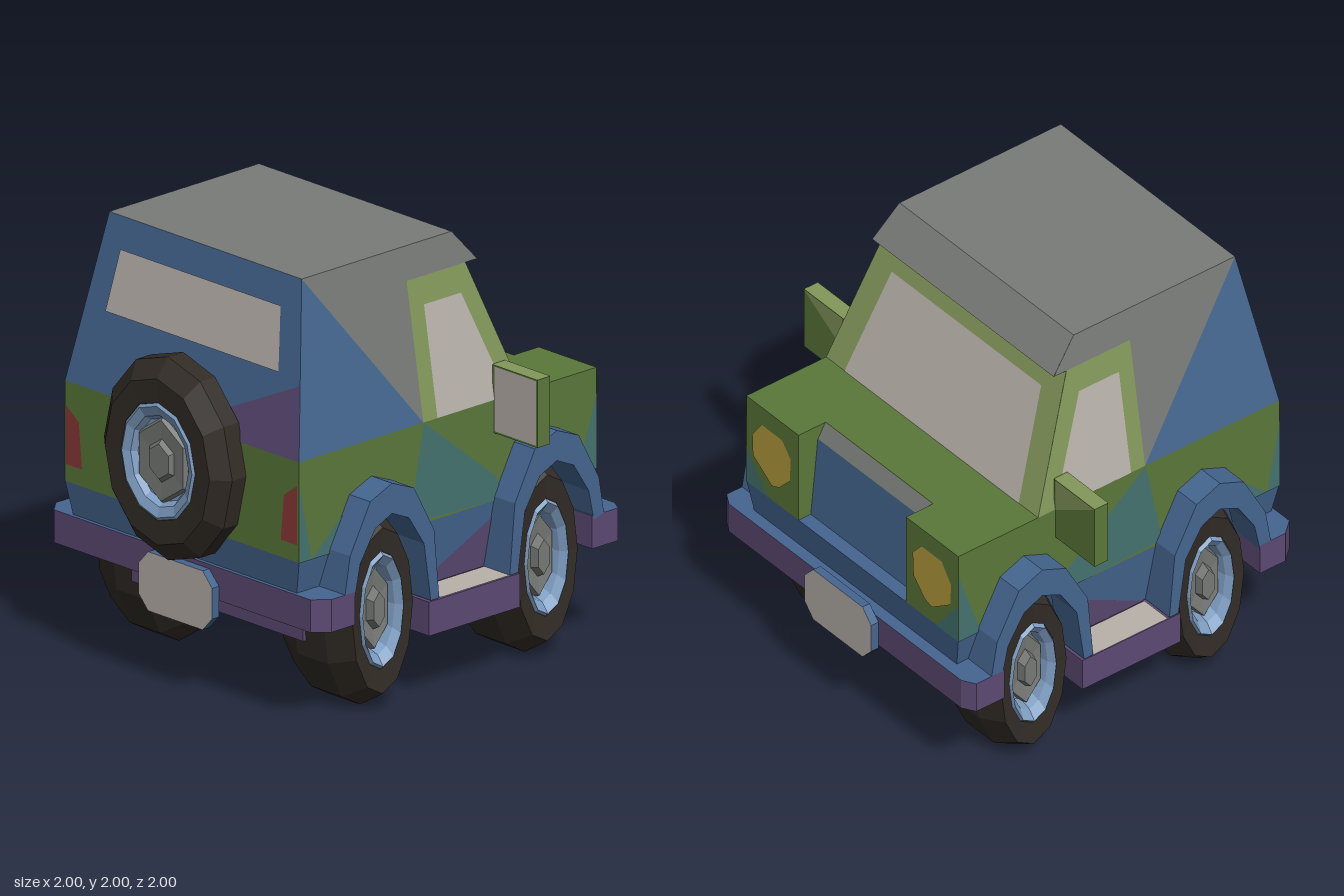
import * as THREE from 'three';

const BLUE = 0x456690, GREEN = 0x5a783a, LIME = 0x83985a, GREY = 0x787b78, PURPLE = 0x5c4a74,
  TEAL = 0x457370, GLASS = 0xb8b2aa, DARK = 0x322c26, RIM = 0x7f9fc4, YELLOW = 0xb89f3c, RED = 0x8c3836;
const mat = (color) => new THREE.MeshStandardMaterial({ color, flatShading: true, side: THREE.DoubleSide });

export function createModel() {
  const car = new THREE.Group();
  const add = (name, geo, color, parent = car) => {
    const m = new THREE.Mesh(geo, Array.isArray(color) ? color.map(mat) : mat(color));
    m.name = name;
    parent.add(m);
    return m;
  };
  const shape = (pts) => new THREE.Shape(pts.map(([a, b]) => new THREE.Vector2(a, b)));

  // Flat panel: a 2D outline laid onto a plane by the rule (u, v) -> [x, y, z]
  const panel = (name, pts, rule, color) => {
    const geo = new THREE.ShapeGeometry(shape(pts)), p = geo.attributes.position;
    for (let i = 0; i < p.count; i++) p.setXYZ(i, ...rule(p.getX(i), p.getY(i)));
    geo.computeVertexNormals();
    return add(name, geo, color);
  };
  // Side profile pushed from z0 to z1
  const slab = (name, pts, z0, z1, color) => {
    const geo = new THREE.ExtrudeGeometry(shape(pts), { depth: z1 - z0, bevelEnabled: false });
    return add(name, geo.translate(0, 0, z0), color);
  };
  const box = (name, x0, x1, y0, y1, z0, z1, color) => add(name,
    new THREE.BoxGeometry(x1 - x0, y1 - y0, z1 - z0).translate((x0 + x1) / 2, (y0 + y1) / 2, (z0 + z1) / 2), color);
  const rect = (a, b, c, d) => [[a, b], [c, b], [c, d], [a, d]];

  const REAR = -0.42, FRONT = 0.56;
  const notch = [[0.2, 0.77], [0.12, 0.9], [0, 0.96], [-0.12, 0.9], [-0.2, 0.77]];

  // Upper body: hollow wheel arches at the sides, recessed grille in the middle
  const flank = [[-0.85, 1.23], [0.92, 1.23], [0.92, 0.77],
    ...notch.map(([x, y]) => [x + FRONT, y]), ...notch.map(([x, y]) => [x + REAR, y]), [-0.85, 0.77]];
  slab('bodyLeft', flank, 0.37, 0.73, GREEN);
  slab('bodyRight', flank, -0.73, -0.37, GREEN);
  slab('bodyCentre', [[-0.85, 1.23], [0.77, 1.23], [0.81, 1.16], [0.85, 0.77], [-0.85, 0.77]], -0.37, 0.37, GREEN);
  panel('grilleTop', rect(-0.37, 1.16, 0.37, 1.23), (z, y) => [0.813 - (y - 1.16) * 0.57, y, z], GREY);
  panel('grille', rect(-0.37, 0.77, 0.37, 1.16), (z, y) => [0.853 - (y - 0.77) * 0.1, y, z], BLUE);

  // Lower body blocks narrowing downwards
  const skirt = (x0, x1, y0, dx0, dx1) => {
    const m = box('lowerBody', x0, x1, y0, 0.77, -0.73, 0.73, BLUE), p = m.geometry.attributes.position;
    for (let i = 0; i < p.count; i++) if (p.getY(i) < 0.76) {
      p.setZ(i, p.getZ(i) * 0.95);
      p.setX(i, p.getX(i) + (p.getX(i) > (x0 + x1) / 2 ? dx1 : dx0));
    }
  };
  skirt(0.79, 0.92, 0.6, 0, -0.02);
  skirt(-0.85, -0.65, 0.6, 0.02, 0);
  skirt(-0.2, 0.34, 0.47, 0, 0);
  box('innerBody', -0.65, 0.79, 0.45, 0.78, -0.33, 0.33, PURPLE);

  // Chassis and running boards
  box('chassis', -0.64, 0.78, 0.31, 0.47, -0.535, 0.535, PURPLE);
  box('sill', -0.2, 0.34, 0.31, 0.465, -0.86, 0.86, PURPLE);
  for (const s of [1, -1])
    panel('runningBoard', rect(-0.13, 0.7, 0.28, 0.86), (x, z) => [x, 0.47, s * z], GLASS);

  // Bumpers, outlined from above, with blue tops
  const bumper = (name, inner, chamfer, end) => {
    const half = [[inner, 0.86], [chamfer, 0.86], [end, 0.8]];
    const outline = [...half, ...half.map(([x, z]) => [x, -z]).reverse()];
    const geo = new THREE.ExtrudeGeometry(shape(outline), { depth: 0.15, bevelEnabled: false });
    add(name, geo.rotateX(Math.PI / 2).translate(0, 0.62, 0), [BLUE, PURPLE]);
  };
  bumper('frontBumper', 0.77, 0.925, 0.96);
  bumper('rearBumper', -0.64, -0.78, -0.85);

  // Wheel arch flares: d points to the bumper end of the car
  const arch = [[0.28, 0.62], [0.25, 0.79], [0.13, 1.01], [0, 1.063], [-0.13, 1.01], [-0.25, 0.79], [-0.28, 0.47],
    [-0.23, 0.47], [-0.19, 0.74], [-0.1, 0.88], [0, 0.925], [0.1, 0.88], [0.19, 0.74], [0.22, 0.6]];
  for (const [cx, d] of [[FRONT, 1], [REAR, -1]]) {
    const pts = arch.map(([x, y]) => [cx + d * x, y]);
    slab('fenderLeft', pts, 0.68, 0.86, BLUE);
    slab('fenderRight', pts, -0.86, -0.68, BLUE);
  }

  // Wheels: faceted tyre, pale rim and six-sided hub
  const lathe = (pts, n) => new THREE.LatheGeometry(pts.map(([r, h]) => new THREE.Vector2(r, h)), n).rotateX(Math.PI / 2);
  const wheel = (name, x, y, z, turn, squash, width) => {
    const g = new THREE.Group();
    g.name = name;
    add('tyre', lathe([[0, -0.23], [0.38, -0.23], [0.465, -0.1], [0.465, 0.09], [0.38, 0.23], [0.27, 0.22], [0.25, 0.17]], 12), DARK, g);
    add('rim', lathe([[0.27, 0.215], [0.255, 0.235], [0.21, 0.2], [0.19, 0.14], [0, 0.14]], 12), RIM, g);
    add('hub', lathe([[0.2, 0.14], [0.185, 0.18], [0.1, 0.17], [0.08, 0.21], [0, 0.21]], 6), GREY, g);
    g.position.set(x, y, z);
    g.rotation.y = turn;
    g.scale.set(squash, 1, width);
    car.add(g);
  };
  for (const x of [REAR, FRONT]) {
    wheel('wheelLeft', x, 0.465, 0.57, 0, 0.475, 1);
    wheel('wheelRight', x, 0.465, -0.57, Math.PI, 0.475, 1);
  }
  wheel('spareWheel', -0.89, 1.08, 0, -Math.PI / 2, 0.86, 0.47);

  // Cabin sides lean inwards; out lifts a panel off the surface
  const lean = (y) => 0.73 - 0.13 * (y - 1.23) / 0.77;
  for (const s of [1, -1]) {
    const side = (out) => (x, y) => [x, y, s * (lean(y) + out)];
    const flat = (x, y) => [x, y, s * 0.734];
    panel('rearQuarter', [[-0.85, 1.23], [-0.11, 1.23], [-0.71, 2]], side(0), BLUE);
    panel('roofSide', [[-0.71, 2], [-0.11, 1.23], [-0.11, 1.85], [0.31, 1.85], [0.18, 2]], side(0), GREY);
    panel('doorFrame', [[-0.11, 1.23], [0.48, 1.23], [0.24, 1.85], [-0.11, 1.85]], side(0), LIME);
    panel('doorWindow', [[-0.03, 1.232], [0.39, 1.232], [0.19, 1.73], [-0.03, 1.73]], side(0.004), GLASS);

    // Colour patches on the flanks
    panel('doorPatch', [[-0.11, 1.23], [-0.2, 0.79], [0.36, 0.77], [0.32, 0.88]], flat, TEAL);
    panel('rearPatch', [[-0.85, 1.12], [-0.85, 0.77], [-0.78, 0.77]], flat, TEAL);
    panel('rearArchPatch', [[-0.78, 0.77], [-0.62, 0.77], [-0.57, 0.95]], flat, TEAL);
    panel('frontPatch', [[0.92, 1.12], [0.8, 0.77], [0.92, 0.77]], flat, TEAL);
    panel('frontArchPatch', [[0.8, 0.77], [0.76, 0.77], [0.68, 0.92]], flat, TEAL);
    panel('skirtPatch', [[-0.13, 0.47], [0.3, 0.47], [0.31, 0.7]],
      (x, y) => [x, y, s * (0.697 + (y - 0.47) * 0.122)], PURPLE);

    // Lights
    panel('headlight', [[0.62, 1.14], [0.48, 1.14], [0.42, 1.07], [0.425, 0.95], [0.5, 0.87], [0.55, 0.85], [0.68, 0.94], [0.685, 1.05]],
      (z, y) => [0.924, y, s * z], YELLOW);
    panel('lampPatch', [[0.73, 0.96], [0.73, 0.77], [0.58, 0.77]], (z, y) => [0.922, y, s * z], TEAL);
    panel('tailLight', [[0.72, 0.85], [0.62, 0.85], [0.64, 1.06], [0.72, 1.12]], (z, y) => [-0.854, y, s * z], RED);

    // Door mirror with glass facing back
    const [z0, z1] = s > 0 ? [0.72, 1] : [-1, -0.72];
    box('mirror', 0.31, 0.385, 1.08, 1.39, z0, z1, GREEN);
    panel('mirrorTrim', [[0.735, 1.23], [1, 1.39], [0.735, 1.39]], (z, y) => [0.388, y, s * z], LIME);
    panel('mirrorTop', rect(0.31, 0.72, 0.385, 1), (x, z) => [x, 1.392, s * z], LIME);
    panel('mirrorGlass', rect(0.735, 1.09, 0.995, 1.385), (z, y) => [0.307, y, s * z], GLASS);
  }

  // Roof, visor and windscreen
  panel('roof', rect(-0.71, -0.6, 0.18, 0.6), (x, z) => [x, 2, z], GREY);
  panel('visor', [[-0.6, 2], [0.6, 2], [0.625, 1.85], [-0.625, 1.85]], (z, y) => [0.18 + (2 - y) * 0.867, y, z], GREY);
  panel('visorUnderside', rect(0.2, -0.625, 0.31, 0.625), (x, z) => [x, 1.85, z], GREY);
  const screen = (out) => (z, y) => [0.48 - (y - 1.23) * 0.387 + out, y, z];
  panel('windscreenFrame', [[-0.73, 1.23], [0.73, 1.23], [0.625, 1.85], [-0.625, 1.85]], screen(0), LIME);
  panel('windscreen', [[-0.6, 1.232], [0.6, 1.232], [0.515, 1.73], [-0.515, 1.73]], screen(0.004), GLASS);

  // Tailgate
  const back = (out) => (z, y) => [-0.85 + (y - 1.23) * 0.182 - out, y, z];
  panel('tailgate', [[-0.73, 1.23], [0.73, 1.23], [0.6, 2], [-0.6, 2]], back(0), BLUE);
  panel('tailgatePatch', [[0, 1.23], [0.73, 1.23], [0.675, 1.55]], back(0.003), PURPLE);
  panel('rearWindow', [[-0.54, 1.58], [0.54, 1.58], [0.5, 1.86], [-0.5, 1.86]], back(0.005), GLASS);

  // Blank eight-sided plates on both bumpers
  const plate = (name, x, y) => {
    const pts = [[0.23, 0.07], [0.17, 0.135], [-0.17, 0.135], [-0.23, 0.07], [-0.23, -0.07], [-0.17, -0.135], [0.17, -0.135], [0.23, -0.07]];
    const geo = new THREE.ExtrudeGeometry(shape(pts), { depth: 0.04, bevelEnabled: false });
    add(name, geo.rotateY(Math.PI / 2).translate(x, y, 0), [GLASS, BLUE]);
  };
  plate('frontPlate', 0.96, 0.525);
  plate('rearPlate', -0.89, 0.465);

  return car;
}
